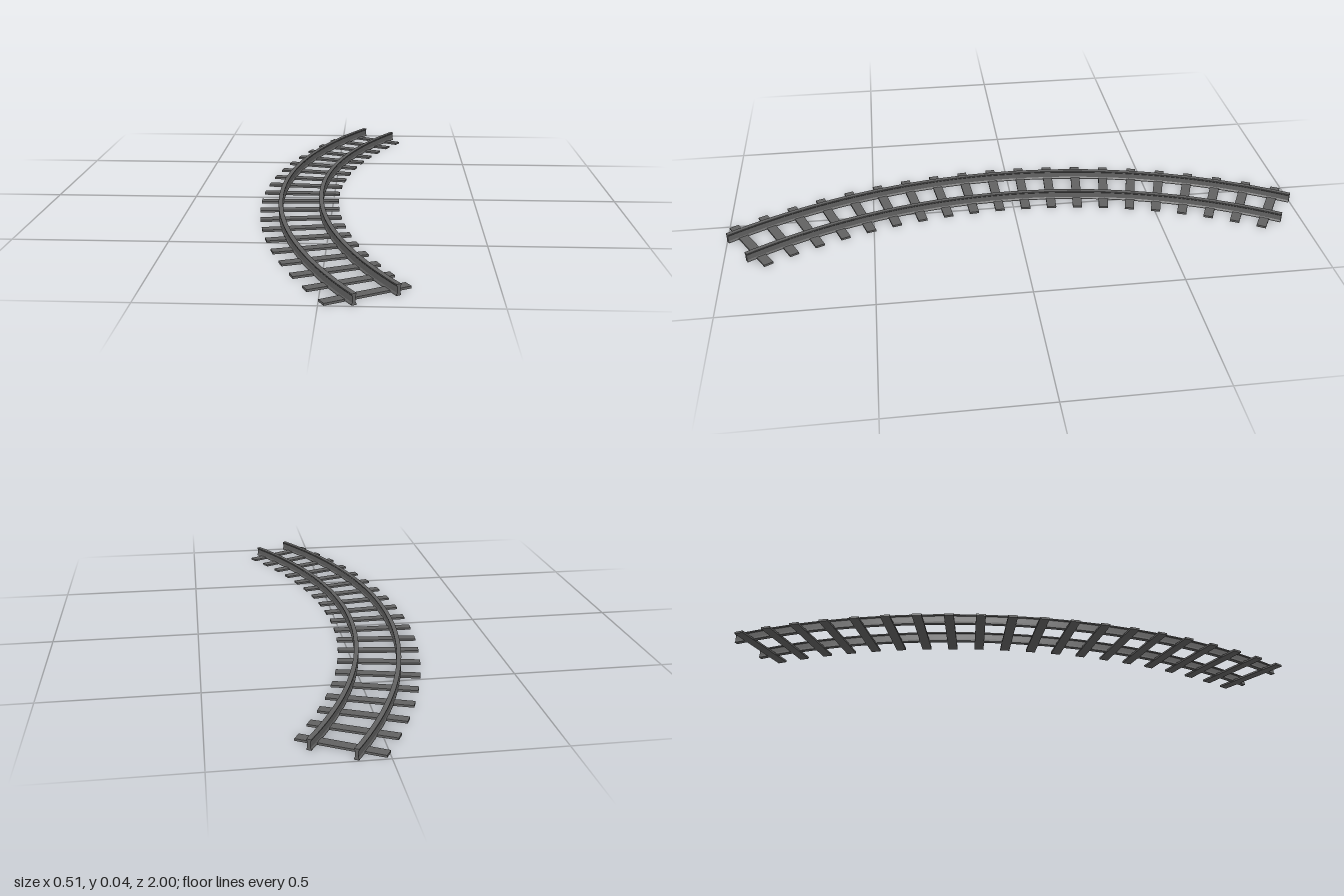
import * as THREE from 'three';
import { toCreasedNormals } from 'three/addons/utils/BufferGeometryUtils.js';

const CENTRE_X = 1.726;      // centre of the curve
const HALF_ANGLE = 0.549;    // half the swept angle of the track
const SLEEPERS = 20;
const SLEEPER_STEP = 0.0546;
const SLEEPER_SHIFT = 0.002; // sleepers sit slightly towards the front end

// Rail section (half): foot, web, head
const HALF_SECTION = [
  [0.0075, 0.002], [0.0075, 0.006], [0.005, 0.010],
  [0.005, 0.029], [0.0075, 0.032], [0.0075, 0.0355],
];

// Extrude the section straight, then bend it around the curve's centre
function railGeometry(radius) {
  const right = HALF_SECTION.map(([x, y]) => new THREE.Vector2(x, y));
  const left = HALF_SECTION.map(([x, y]) => new THREE.Vector2(-x, y)).reverse();
  const geometry = new THREE.ExtrudeGeometry(new THREE.Shape([...right, ...left]), {
    depth: 2 * HALF_ANGLE, steps: 48, bevelEnabled: false,
  });
  const p = geometry.attributes.position;
  for (let i = 0; i < p.count; i++) {
    const r = radius - p.getX(i);
    const a = p.getZ(i) - HALF_ANGLE;
    p.setXYZ(i, CENTRE_X - r * Math.cos(a), p.getY(i), r * Math.sin(a));
  }
  return toCreasedNormals(geometry, 0.4);
}

export function createModel() {
  const track = new THREE.Group();
  track.name = 'curvedTrack';
  const material = new THREE.MeshStandardMaterial({ color: 0x626262 });

  // Rails
  for (const [name, radius] of [['outerRail', 1.9095], ['innerRail', 1.769]]) {
    const rail = new THREE.Mesh(railGeometry(radius), material);
    rail.name = name;
    track.add(rail);
  }

  // Sleepers, each lying along a radius of the curve
  const sleepers = new THREE.Group();
  sleepers.name = 'sleepers';
  const sleeperGeometry = new THREE.BoxGeometry(0.273, 0.007, 0.033);
  const sleeperRadius = 1.8435;
  for (let i = 0; i < SLEEPERS; i++) {
    const a = (i - (SLEEPERS - 1) / 2) * SLEEPER_STEP + SLEEPER_SHIFT;
    const sleeper = new THREE.Mesh(sleeperGeometry, material);
    sleeper.name = `sleeper${i + 1}`;
    sleeper.position.set(CENTRE_X - sleeperRadius * Math.cos(a), 0.0035, sleeperRadius * Math.sin(a));
    sleeper.rotation.y = a;
    sleepers.add(sleeper);
  }
  track.add(sleepers);
  return track;
}
